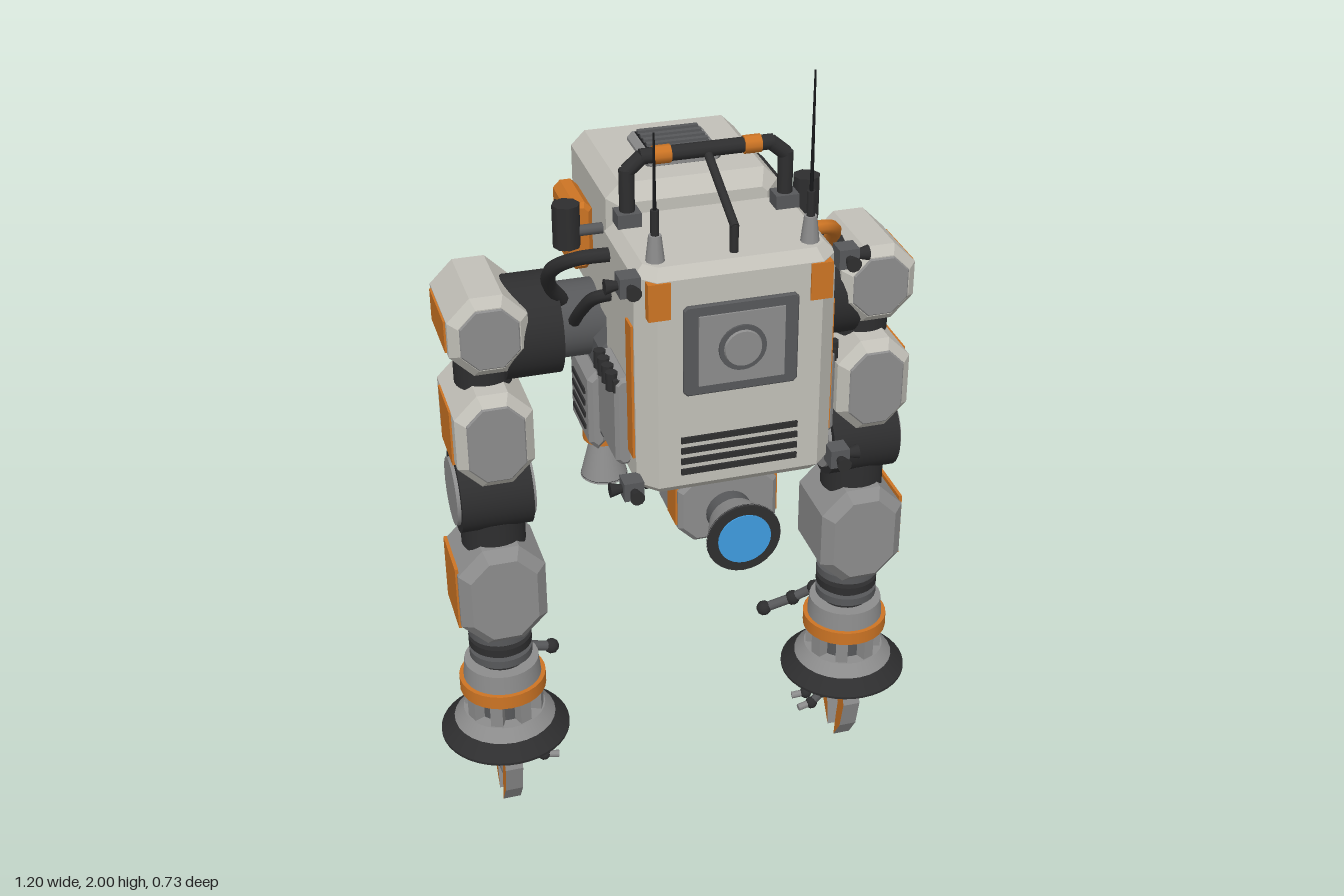
import * as THREE from 'three';

const mat = (name, color) => Object.assign(new THREE.MeshStandardMaterial({ color }), { name });
const pale = mat('pale shell', 0xc2c0b8), gray = mat('mid gray', 0x8c8c8c), iron = mat('iron', 0x57585a);
const dark = mat('dark', 0x2e2e2f), black = mat('black', 0x18191b);
const orange = mat('orange', 0xcc7424), blue = mat('blue', 0x3f9ce0);

function add(parent, name, geo, material, x = 0, y = 0, z = 0) {
  const m = new THREE.Mesh(geo, material);
  m.name = name;
  m.position.set(x, y, z);
  parent.add(m);
  return m;
}
const box = (p, n, m, w, h, d, x, y, z) => add(p, n, new THREE.BoxGeometry(w, h, d), m, x, y, z);

// Octagonal block: corners cut by c in xy, front and back rims bevelled by b
function block(p, n, m, w, h, d, x, y, z, c = 0.03, b = 0.02) {
  const W = w / 2 - b, H = h / 2 - b;
  const s = new THREE.Shape([[W - c, -H], [W, c - H], [W, H - c], [W - c, H], [c - W, H], [-W, H - c], [-W, c - H], [c - W, -H]]
    .map(q => new THREE.Vector2(...q)));
  const g = new THREE.ExtrudeGeometry(s, { depth: d - 2 * b, bevelEnabled: true, bevelSize: b, bevelThickness: b, bevelSegments: 1 });
  g.translate(0, 0, b - d / 2);
  return add(p, n, g, m, x, y, z);
}
// Cylinder along an axis; r1 is the radius at the positive end
function cyl(p, n, m, r1, r0, len, x, y, z, axis = 'y', seg = 28) {
  const g = new THREE.CylinderGeometry(r1, r0, len, seg);
  if (axis === 'x') g.rotateZ(-Math.PI / 2);
  if (axis === 'z') g.rotateX(Math.PI / 2);
  return add(p, n, g, m, x, y, z);
}
function rod(p, n, m, r, a, b, seg = 10) {
  const A = new THREE.Vector3(...a), B = new THREE.Vector3(...b), d = B.clone().sub(A);
  const o = add(p, n, new THREE.CylinderGeometry(r, r, d.length(), seg), m, ...A.clone().add(B).multiplyScalar(0.5).toArray());
  o.quaternion.setFromUnitVectors(new THREE.Vector3(0, 1, 0), d.normalize());
  return o;
}
function hose(p, n, m, r, pts) {
  const curve = new THREE.CatmullRomCurve3(pts.map(q => new THREE.Vector3(...q)));
  return add(p, n, new THREE.TubeGeometry(curve, 24, r, 8), m);
}
function group(parent, name) {
  const g = new THREE.Group();
  g.name = name;
  parent.add(g);
  return g;
}

function buildPack(root) {
  const p = group(root, 'backpack');
  // Shell is extruded upward so its vertical corners are cut
  const shell = block(p, 'packShell', pale, 0.42, 0.30, 0.515, 0, 1.388, 0.17, 0.025, 0.022);
  shell.rotation.x = -Math.PI / 2;
  block(p, 'hatchFrame', iron, 0.24, 0.20, 0.012, 0, 1.465, 0.322, 0.006, 0.003);
  box(p, 'hatchPanel', gray, 0.18, 0.155, 0.008, 0, 1.465, 0.328);
  cyl(p, 'hatchRing', iron, 0.05, 0.05, 0.008, 0, 1.465, 0.333, 'z');
  cyl(p, 'hatchHub', gray, 0.038, 0.042, 0.01, 0, 1.465, 0.337, 'z');
  for (let i = 0; i < 4; i++) box(p, 'packVent', dark, 0.25, 0.013, 0.008, 0, 1.186 + i * 0.025, 0.321);
  for (const s of [-1, 1]) {
    box(p, 'orangeCorner', orange, 0.046, 0.08, 0.03, s * 0.168, 1.582, 0.309);
    box(p, 'sideStripe', orange, 0.008, 0.305, 0.042, s * 0.211, 1.36, 0.254);
    block(p, 'sidePouch', gray, 0.04, 0.205, 0.15, s * 0.22, 1.27, 0.16, 0.008, 0.008);
    box(p, 'pouchLid', dark, 0.045, 0.028, 0.14, s * 0.219, 1.355, 0.16);
    for (let i = 0; i < 4; i++) cyl(p, 'pouchKnob', dark, 0.013, 0.013, 0.04, s * 0.24, 1.36, 0.11 + i * 0.033, 'y', 8);
    // Corner jets
    for (const y of [1.155, 1.62]) {
      box(p, 'jetBlock', iron, 0.042, 0.042, 0.042, s * 0.225, y, 0.30);
      cyl(p, 'sideJet', dark, s > 0 ? 0.016 : 0.008, s > 0 ? 0.008 : 0.016, 0.03, s * 0.257, y, 0.30, 'x', 10);
      cyl(p, 'frontJet', dark, 0.016, 0.008, 0.03, s * 0.225, y, 0.333, 'z', 10);
    }
    // Antennas
    const top = s > 0 ? 2 : 1.91;
    cyl(p, 'antennaBase', gray, 0.013, 0.02, 0.06, s * 0.16, 1.67, 0.265, 'y', 10);
    cyl(p, 'antennaSleeve', dark, 0.009, 0.009, 0.055, s * 0.16, 1.725, 0.265, 'y', 8);
    cyl(p, 'antennaWhip', black, 0.002, 0.004, top - 1.75, s * 0.16, (top + 1.75) / 2, 0.265, 'y', 6);
    // Roll bar
    box(p, 'barFoot', iron, 0.05, 0.03, 0.045, s * 0.168, 1.66, 0.085);
    rod(p, 'barPost', dark, 0.016, [s * 0.168, 1.65, 0.085], [s * 0.168, 1.765, 0.085]);
    rod(p, 'barBend', dark, 0.016, [s * 0.168, 1.76, 0.085], [s * 0.135, 1.788, 0.085]);
    cyl(p, 'barBand', orange, 0.019, 0.019, 0.036, s * 0.095, 1.788, 0.085, 'x', 10);
    // Hoses to the shoulders
    hose(p, 'upperHose', s > 0 ? orange : dark, 0.016, [[0.205, 1.585, 0.09], [0.27, 1.575, 0.07], [0.31, 1.53, 0.01], [0.305, 1.46, -0.06], [0.27, 1.4, -0.1]].map(([x, y, z]) => [s * x, y, z]));
    hose(p, 'lowerHose', dark, 0.014, [[0.2, 1.5, 0.1], [0.235, 1.475, 0.06], [0.25, 1.42, 0], [0.25, 1.36, -0.07]].map(([x, y, z]) => [s * x, y, z]));
  }
  rod(p, 'barTop', dark, 0.016, [-0.14, 1.788, 0.085], [0.14, 1.788, 0.085]);
  rod(p, 'barStrut', dark, 0.009, [0, 1.785, 0.085], [0, 1.70, 0.275]);
  rod(p, 'strutFoot', dark, 0.009, [0, 1.705, 0.27], [0, 1.64, 0.27]);
  // Lamp housing under the pack
  block(p, 'lampHousing', gray, 0.22, 0.165, 0.165, 0, 1.04, 0.17, 0.03, 0.01);
  for (const s of [-1, 1]) box(p, 'housingStripe', orange, 0.008, 0.09, 0.062, s * 0.11, 1.045, 0.207);
  cyl(p, 'lampNeck', iron, 0.05, 0.05, 0.05, 0, 1.025, 0.27, 'z');
  cyl(p, 'lampShade', gray, 0.082, 0.055, 0.07, 0, 1.025, 0.325, 'z');
  cyl(p, 'lampRim', dark, 0.08, 0.082, 0.006, 0, 1.025, 0.361, 'z');
  cyl(p, 'lampLens', blue, 0.058, 0.058, 0.004, 0, 1.025, 0.365, 'z');
}

function buildHead(root) {
  const h = group(root, 'head');
  block(h, 'headShell', pale, 0.375, 0.345, 0.365, 0, 1.518, -0.168, 0.012, 0.032);
  block(h, 'screen', black, 0.31, 0.275, 0.02, 0, 1.512, -0.354, 0.015, 0.006);
  // Glowing face: eyes, a broken smile and small dots
  for (const s of [-1, 1]) {
    box(h, 'eye', blue, 0.035, 0.03, 0.004, s * 0.095, 1.535, -0.365);
    box(h, 'eyeTick', blue, 0.02, 0.014, 0.004, s * 0.068, 1.515, -0.365);
    box(h, 'chinDot', blue, 0.025, 0.016, 0.004, s * 0.035, 1.455, -0.365);
  }
  for (let i = -3; i <= 3; i++) {
    const t = i / 3;
    box(h, 'smile', blue, 0.027, 0.013, 0.004, t * 0.078, 1.475 + 0.03 * t * t, -0.365).rotation.z = t * 0.6;
  }
  // Roof vent
  block(h, 'ventFrame', gray, 0.17, 0.03, 0.15, 0, 1.70, -0.155, 0.008, 0.006);
  box(h, 'ventBed', black, 0.14, 0.008, 0.12, 0, 1.713, -0.155);
  for (let i = 0; i < 5; i++) box(h, 'ventSlat', iron, 0.135, 0.012, 0.012, 0, 1.718, -0.205 + i * 0.025);
  // Ear pods differ from side to side
  block(h, 'leftPod', orange, 0.045, 0.17, 0.135, 0.203, 1.535, -0.232, 0.01, 0.008);
  block(h, 'leftPodCover', dark, 0.04, 0.15, 0.12, 0.23, 1.525, -0.24, 0.008, 0.006);
  for (const z of [-0.215, -0.265]) box(h, 'leftPodLight', blue, 0.004, 0.05, 0.012, 0.251, 1.51, z);
  box(h, 'leftPodStrip', blue, 0.012, 0.09, 0.004, 0.232, 1.525, -0.301);
  block(h, 'rightPod', orange, 0.055, 0.155, 0.15, -0.215, 1.525, -0.205, 0.01, 0.01);
  box(h, 'rightPodPanel', dark, 0.006, 0.09, 0.08, -0.243, 1.525, -0.205);
  box(h, 'rightPodLight', blue, 0.004, 0.055, 0.02, -0.247, 1.525, -0.215);
  for (const s of [-1, 1]) {
    cyl(h, 'hornCan', dark, 0.03, 0.03, 0.095, s * 0.265, 1.597, -0.05, 'y', 8);
    rod(h, 'hornStem', iron, 0.012, [s * 0.18, 1.58, -0.05], [s * 0.26, 1.58, -0.05]);
    box(h, 'hornLight', blue, 0.012, 0.05, 0.004, s * 0.265, 1.6, -0.079);
  }
}

function buildTorso(root) {
  const t = group(root, 'torso');
  block(t, 'torsoCore', iron, 0.42, 0.34, 0.29, 0, 1.205, -0.135, 0.05, 0.02);
  block(t, 'chestUpper', pale, 0.36, 0.14, 0.09, 0, 1.265, -0.275, 0.02, 0.02);
  block(t, 'chestLower', pale, 0.34, 0.17, 0.10, 0, 1.10, -0.28, 0.04, 0.02);
  box(t, 'waistBlock', black, 0.26, 0.08, 0.3, 0, 1.02, -0.10);
  block(t, 'chestPanel', gray, 0.17, 0.13, 0.016, 0, 1.19, -0.331, 0.01, 0.004);
  box(t, 'chestDisplayFrame', dark, 0.085, 0.08, 0.01, 0, 1.19, -0.337);
  box(t, 'chestDisplay', blue, 0.06, 0.055, 0.004, 0, 1.19, -0.343);
  cyl(t, 'chestLampRing', dark, 0.036, 0.036, 0.02, 0.1, 1.085, -0.328, 'z');
  cyl(t, 'chestLamp', blue, 0.026, 0.026, 0.004, 0.1, 1.085, -0.339, 'z');
  for (const s of [-1, 1]) {
    box(t, 'chestTab', orange, 0.03, 0.022, 0.03, s * 0.18, 1.3, -0.285);
    block(t, 'sidePlate', gray, 0.04, 0.19, 0.17, s * 0.215, 1.15, -0.11, 0.01, 0.01);
    for (let i = 0; i < 4; i++) box(t, 'sideSlot', dark, 0.006, 0.012, 0.11, s * 0.236, 1.1 + i * 0.03, -0.11);
    // Hip thrusters
    cyl(t, 'thrusterCap', gray, 0.035, 0.045, 0.06, s * 0.17, 1.05, -0.17);
    cyl(t, 'thrusterBand', orange, 0.047, 0.047, 0.022, s * 0.17, 1.01, -0.17);
    const nozzle = new THREE.CylinderGeometry(0.03, 0.055, 0.1, 28, 1, true);
    add(t, 'thrusterNozzle', nozzle, gray, s * 0.17, 0.95, -0.17);
    cyl(t, 'thrusterThroat', black, 0.054, 0.054, 0.004, s * 0.17, 0.903, -0.17);
  }
}

function buildArm(root, s) {
  const a = group(root, s > 0 ? 'leftArm' : 'rightArm'), X = s * 0.443, Z = -0.152;
  // Shoulder
  cyl(a, 'shoulderHub', iron, 0.085, 0.085, 0.12, s * 0.235, 1.325, Z, 'x');
  cyl(a, 'shoulderDrum', dark, 0.115, 0.115, 0.125, s * 0.342, 1.325, Z, 'x');
  block(a, 'shoulderShell', pale, 0.175, 0.185, 0.24, X, 1.362, Z, 0.04, 0.02);
  cyl(a, 'shoulderNeck', dark, 0.065, 0.065, 0.08, X, 1.245, Z);
  // Upper arm and elbow
  block(a, 'upperArm', pale, 0.175, 0.23, 0.25, X, 1.105, Z, 0.04, 0.022);
  for (const e of [-1, 1]) {
    block(a, 'shoulderPlate', gray, 0.13, 0.14, 0.01, X, 1.362, Z + e * 0.119, 0.035, 0.003);
    block(a, 'upperArmPlate', gray, 0.13, 0.185, 0.01, X, 1.105, Z + e * 0.124, 0.035, 0.003);
  }
  cyl(a, 'elbowDrum', dark, 0.098, 0.098, 0.165, X, 0.925, Z, 'x');
  for (const e of [-1, 1]) cyl(a, 'elbowCap', gray, 0.08, 0.08, 0.01, X + e * 0.086, 0.925, Z, 'x');
  cyl(a, 'elbowNeck', dark, 0.075, 0.075, 0.08, X, 0.82, Z);
  // Forearm with slots on the -z face
  block(a, 'forearm', gray, 0.205, 0.26, 0.215, X, 0.673, Z, 0.045, 0.025);
  for (let i = 0; i < 3; i++) box(a, 'forearmSlot', dark, 0.09, 0.012, 0.008, X, 0.64 + i * 0.033, Z - 0.109);
  box(a, 'forearmSlotCover', iron, 0.11, 0.02, 0.014, X, 0.745, Z - 0.108);
  // Orange side panels: x, y, height, depth
  for (const [x, y, h, d] of [[0.531, 1.362, 0.075, 0.165], [0.531, 1.1, 0.135, 0.13], [0.546, 0.675, 0.165, 0.145]])
    box(a, 'sidePanel', orange, 0.008, h, d, s * x, y, Z);
  // Wrist: bellows, collar, band, flange
  cyl(a, 'wristCore', dark, 0.06, 0.06, 0.2, X, 0.46, Z);
  for (const y of [0.53, 0.497, 0.464]) cyl(a, 'wristRing', y < 0.5 && y > 0.48 ? dark : iron, 0.076, 0.076, 0.02, X, y, Z);
  cyl(a, 'wristCollar', gray, 0.09, 0.095, 0.055, X, 0.41, Z);
  cyl(a, 'wristBand', orange, 0.105, 0.105, 0.035, X, 0.372, Z);
  cyl(a, 'wristDrum', iron, 0.07, 0.07, 0.08, X, 0.32, Z);
  for (let i = 0; i < 8; i++) {
    const t = (i + 0.5) * Math.PI / 4;
    box(a, 'wristPillar', gray, 0.03, 0.075, 0.03, X + 0.08 * Math.cos(t), 0.32, Z + 0.08 * Math.sin(t)).rotation.y = -t;
  }
  cyl(a, 'flangeTop', gray, 0.1, 0.125, 0.03, X, 0.277, Z);
  cyl(a, 'flangeSkirt', dark, 0.125, 0.158, 0.034, X, 0.246, Z, 'y', 40);
  cyl(a, 'flangeLip', dark, 0.158, 0.158, 0.006, X, 0.227, Z, 'y', 40);
  // Small jointed tool behind the wrist
  const tool = [[0.44, 0.38, -0.25], [0.41, 0.375, -0.285], [0.36, 0.335, -0.31], [0.285, 0.31, -0.32]].map(([x, y, z]) => [s * x, y, z]);
  for (let i = 0; i < 3; i++) {
    rod(a, 'toolLink', iron, 0.013, tool[i], tool[i + 1]);
    add(a, 'toolJoint', new THREE.IcosahedronGeometry(0.02, 1), dark, ...tool[i + 1]);
  }
  // Gripper: claws with gray edges, a middle finger and a thumb
  cyl(a, 'palm', dark, 0.065, 0.045, 0.05, X, 0.2, Z, 'y', 12);
  const claw = new THREE.Shape([[0.015, 0.225], [0.065, 0.2], [0.082, 0.14], [0.062, 0.06], [0.022, 0], [0.032, 0.07], [0.042, 0.125], [0.018, 0.17]]
    .map(q => new THREE.Vector2(...q)));
  const clawGeo = new THREE.ExtrudeGeometry(claw, { depth: 0.044, bevelEnabled: false }).translate(0, 0, -0.022);
  for (const e of [-1, 1]) {
    add(a, 'claw', clawGeo, [orange, gray], X, 0.004, Z).rotation.y = -e * Math.PI / 2;
    cyl(a, 'clawPin', iron, 0.015, 0.015, 0.06, X, 0.185, Z + e * 0.05, 'x', 10);
  }
  rod(a, 'fingerRoot', iron, 0.018, [X, 0.2, Z], [s * 0.455, 0.12, Z], 8);
  const tip = cyl(a, 'fingerTip', gray, 0.018, 0.004, 0.09, s * 0.45, 0.075, Z, 'y', 8);
  tip.rotation.z = -s * 0.1;
  for (const dz of [-0.022, 0.022]) {
    const thumb = [[0.42, 0.2], [0.385, 0.15], [0.355, 0.125], [0.318, 0.12]].map(([x, y], i) => [s * x, y, Z + dz * (0.6 + i * 0.2)]);
    for (let i = 0; i < 3; i++) {
      rod(a, 'thumbLink', i < 2 ? iron : gray, 0.013 - i * 0.002, thumb[i], thumb[i + 1], 8);
      if (i < 2) add(a, 'thumbJoint', new THREE.IcosahedronGeometry(0.016, 1), dark, ...thumb[i + 1]);
    }
  }
}

export function createModel() {
  const root = new THREE.Group();
  root.name = 'robot';
  buildPack(root);
  buildHead(root);
  buildTorso(root);
  for (const s of [-1, 1]) buildArm(root, s);
  return root;
}
